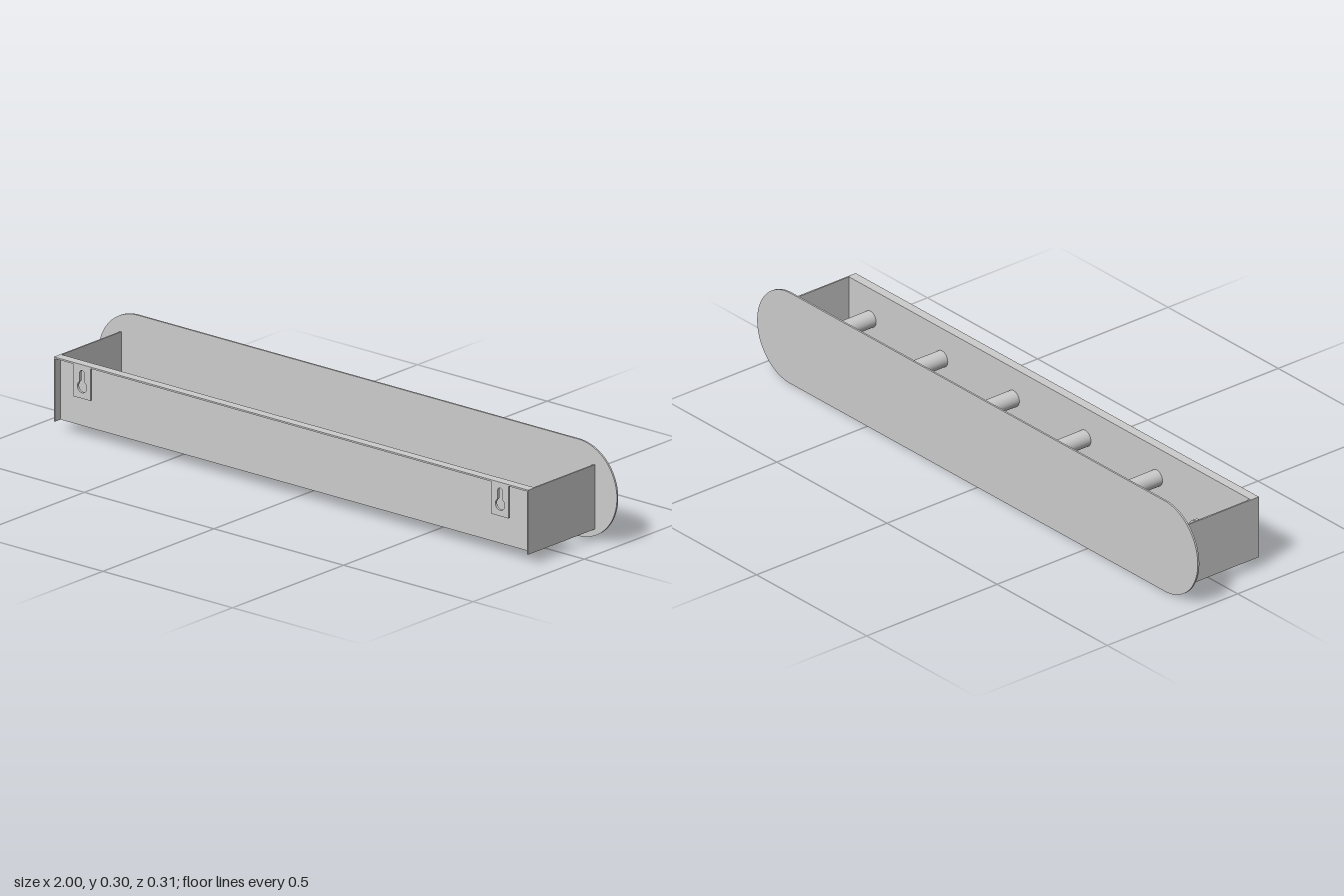
import * as THREE from 'three';

const material = new THREE.MeshStandardMaterial({ color: 0xcccccc });

export function createModel() {
  const model = new THREE.Group();
  model.name = 'wallLight';

  const add = (name, geometry, x, y, z) => {
    const mesh = new THREE.Mesh(geometry, material);
    mesh.name = name;
    mesh.position.set(x, y, z);
    model.add(mesh);
    return mesh;
  };
  const box = (name, w, h, d, x, y, z) => add(name, new THREE.BoxGeometry(w, h, d), x, y, z);

  // Stadium-shaped face plate
  const R = 0.15;
  const stadium = new THREE.Shape();
  stadium.absarc(1 - R, 0, R, -Math.PI / 2, Math.PI / 2, false);
  stadium.absarc(R - 1, 0, R, Math.PI / 2, Math.PI * 1.5, false);
  stadium.closePath();
  add('facePlate', new THREE.ExtrudeGeometry(stadium, {
    depth: 0.006, bevelEnabled: false, curveSegments: 40,
  }), 0, R, -0.153);

  // Folded mounting frame: recessed panel, top flange and two end walls
  const T = 0.005, HALF = 0.915, BOTTOM = 0.035, TOP = 0.235;
  const midY = (BOTTOM + TOP) / 2;
  box('mountingPanel', 2 * HALF - 2 * T, TOP - BOTTOM, T, 0, midY, 0.1255);
  box('topFlange', 2 * HALF - 2 * T, T, 0.025, 0, TOP - T / 2, 0.1405);
  for (const side of [-1, 1]) {
    box('endWall', T, TOP - BOTTOM, 0.3, side * (HALF - T / 2), midY, 0.003);
  }

  // Keyhole hangers
  const hanger = new THREE.Shape();
  hanger.moveTo(-0.0325, 0.13);
  hanger.lineTo(0.0325, 0.13);
  hanger.lineTo(0.0325, TOP - T);
  hanger.lineTo(-0.0325, TOP - T);
  hanger.closePath();
  const keyhole = new THREE.Path();
  const r = 0.009, bigR = 0.018, bigY = 0.166, slotY = 0.208;
  const a = Math.acos(r / bigR);
  keyhole.absarc(0, slotY, r, 0, Math.PI, false);
  keyhole.absarc(0, bigY, bigR, Math.PI - a, Math.PI * 2 + a, false);
  keyhole.closePath();
  hanger.holes.push(keyhole);
  const hangerGeometry = new THREE.ExtrudeGeometry(hanger, {
    depth: 0.008, bevelEnabled: false, curveSegments: 20,
  });
  for (const side of [-1, 1]) add('keyholeHanger', hangerGeometry, side * 0.806, 0, 0.145);

  // Row of lamp holders, each with a wider collar at its free end
  const stem = new THREE.CylinderGeometry(0.026, 0.026, 0.114, 32).rotateX(Math.PI / 2);
  const collar = new THREE.CylinderGeometry(0.032, 0.032, 0.014, 32).rotateX(Math.PI / 2);
  for (let i = 0; i < 6; i++) {
    const x = (i - 2.5) * 0.325;
    add('lampHolder', stem, x, midY, 0.067);
    add('lampCollar', collar, x, midY, 0.004);
  }

  return model;
}
